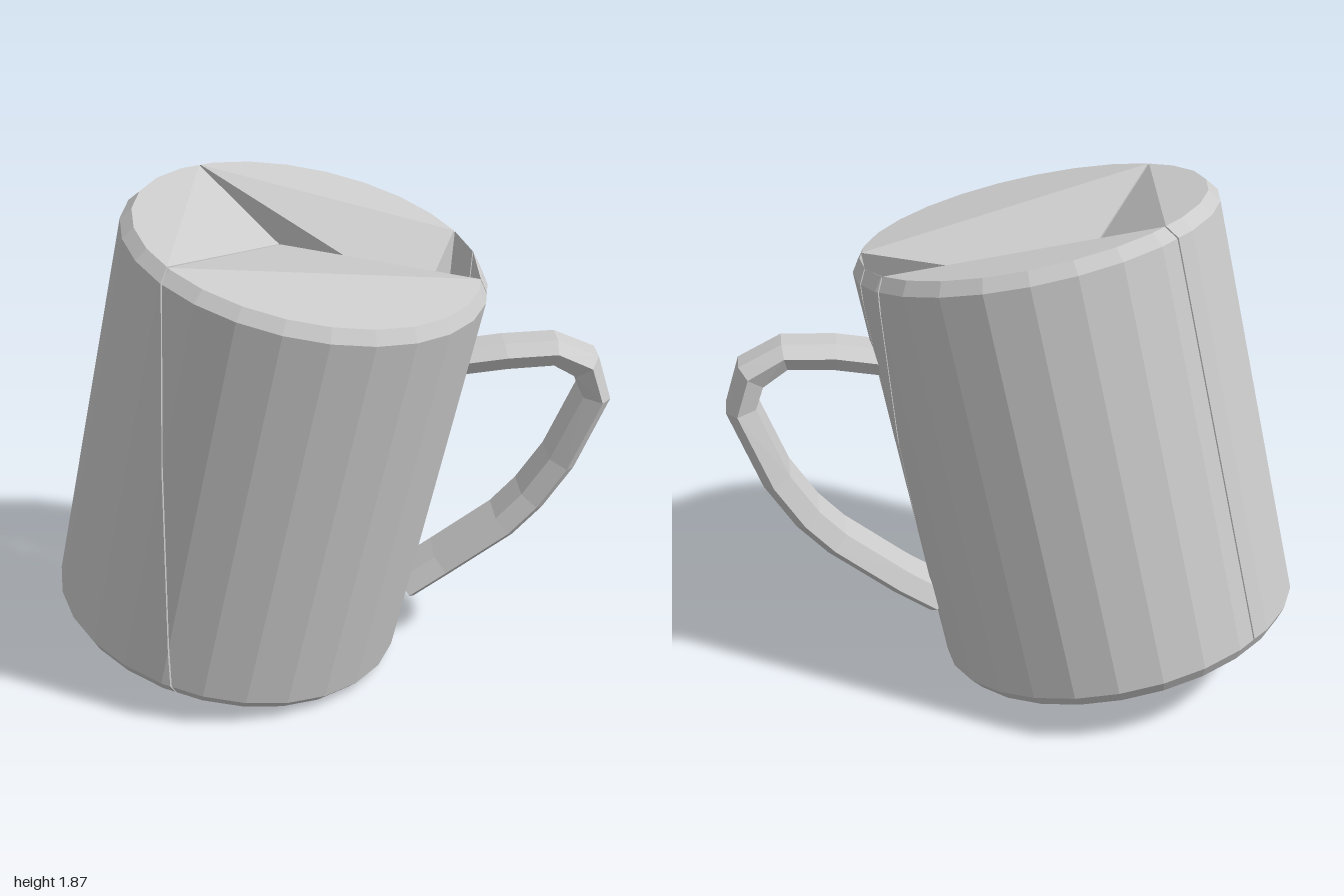
import * as THREE from 'three';
import { ConvexGeometry } from 'three/addons/geometries/ConvexGeometry.js';

const V = (x, y, z) => new THREE.Vector3(x, y, z);
const SIDES = 26, RADIUS = 0.672, HEIGHT = 1.63, BEVEL = 0.035;
const SEAM_Z = -0.235, SEAM_X = -0.22, GAP = 0.003;

// Point on the leaning cup wall, at a height along the axis
function wallPoint(i, [r, h]) {
  const a = (i / SIDES) * Math.PI * 2, x = r * Math.cos(a), tilt = 0.2225;
  const c = Math.cos(tilt), s = Math.sin(tilt);
  return V(-0.345 + x * c + h * s, 0.15 - x * s + h * c, r * Math.sin(a));
}

// Part of edge a-b inside the x and z limits, as its two end points
function clipEdge(a, b, limits) {
  let t0 = 0, t1 = 1;
  for (const [axis, lo, hi] of limits) {
    const d = b[axis] - a[axis];
    if (Math.abs(d) < 1e-9) {
      if (a[axis] < lo || a[axis] > hi) return [];
      continue;
    }
    const p = (lo - a[axis]) / d, q = (hi - a[axis]) / d;
    t0 = Math.max(t0, Math.min(p, q));
    t1 = Math.min(t1, Math.max(p, q));
  }
  return t0 > t1 ? [] : [a.clone().lerp(b, t0), a.clone().lerp(b, t1)];
}

// Convex block of the cup between the limits, plus its inner corners
function cupBlock(xLo, xHi, zLo, zHi, corners = []) {
  const profile = [
    [RADIUS - BEVEL, 0], [RADIUS, BEVEL * 1.3],
    [RADIUS, HEIGHT - BEVEL * 1.3], [RADIUS - BEVEL, HEIGHT],
  ];
  const limits = [['x', xLo + GAP, xHi - GAP], ['z', zLo + GAP, zHi - GAP]];
  const points = [...corners];
  for (let i = 0; i < SIDES; i++) {
    profile.forEach((ring, j) => {
      const p = wallPoint(i, ring);
      points.push(...clipEdge(p, wallPoint(i + 1, ring), limits));
      if (j < 3) points.push(...clipEdge(p, wallPoint(i, profile[j + 1]), limits));
    });
  }
  return new ConvexGeometry(points);
}

// Flat six-sided cross-section of the handle
function handleSection(center, tangent, half) {
  const across = V(0.5, 0, 0.866);
  const out = V().crossVectors(across, tangent).normalize();
  const shape = [[1, 0.25], [0.45, 1], [-0.45, 1], [-1, 0.25], [-0.7, -1], [0.7, -1]];
  return shape.map(([w, t]) => center.clone()
    .addScaledVector(across, w * 0.112).addScaledVector(out, t * half));
}

export function createModel() {
  const model = new THREE.Group();
  const material = new THREE.MeshStandardMaterial({ color: 0xcccccc, flatShading: true });
  const add = (parent, name, geometry) => {
    const mesh = new THREE.Mesh(geometry, material);
    mesh.name = name;
    parent.add(mesh);
  };

  // Cup body: solid blocks whose tops sink towards the inner corners
  const cup = new THREE.Group();
  cup.name = 'cup';
  model.add(cup);
  const inner = (side, y, zSide) => V(SEAM_X + side * GAP, y, SEAM_Z + zSide * GAP);
  add(cup, 'frontBlock', cupBlock(SEAM_X, 2, SEAM_Z, 2, [inner(1, 1.61, 1), inner(1, 0.122, 1)]));
  add(cup, 'sideBlock', cupBlock(-2, SEAM_X, SEAM_Z, 2, [inner(-1, 1.61, 1), inner(-1, 0.122, 1)]));
  add(cup, 'backBlock', cupBlock(-2, 0.36, -2, SEAM_Z, [V(0.357, 1.47, SEAM_Z - GAP)]));
  add(cup, 'innerRimBlock', cupBlock(0.36, 0.48, -2, SEAM_Z));
  add(cup, 'outerRimBlock', cupBlock(0.48, 2, -2, SEAM_Z));

  // Handle: chain of convex links, each spanning two sections
  const handle = new THREE.Group();
  handle.name = 'handle';
  model.add(handle);
  const path = [
    [0.48, 1.26, -0.32], [0.63, 1.285, -0.39], [0.79, 1.295, -0.48], [0.89, 1.23, -0.555],
    [0.925, 1.1, -0.58], [0.815, 0.82, -0.545], [0.72, 0.66, -0.5], [0.63, 0.55, -0.45],
    [0.42, 0.375, -0.35], [0.3, 0.28, -0.28],
  ].map((p) => V(...p));
  const sections = path.map((p, i) => {
    const tangent = V().subVectors(path[Math.min(i + 1, path.length - 1)], path[Math.max(i - 1, 0)]);
    return handleSection(p, tangent, i < 3 ? 0.045 : 0.055);
  });
  for (let i = 0; i < sections.length - 1; i++) {
    add(handle, `handleLink${i + 1}`, new ConvexGeometry([...sections[i], ...sections[i + 1]]));
  }
  return model;
}
